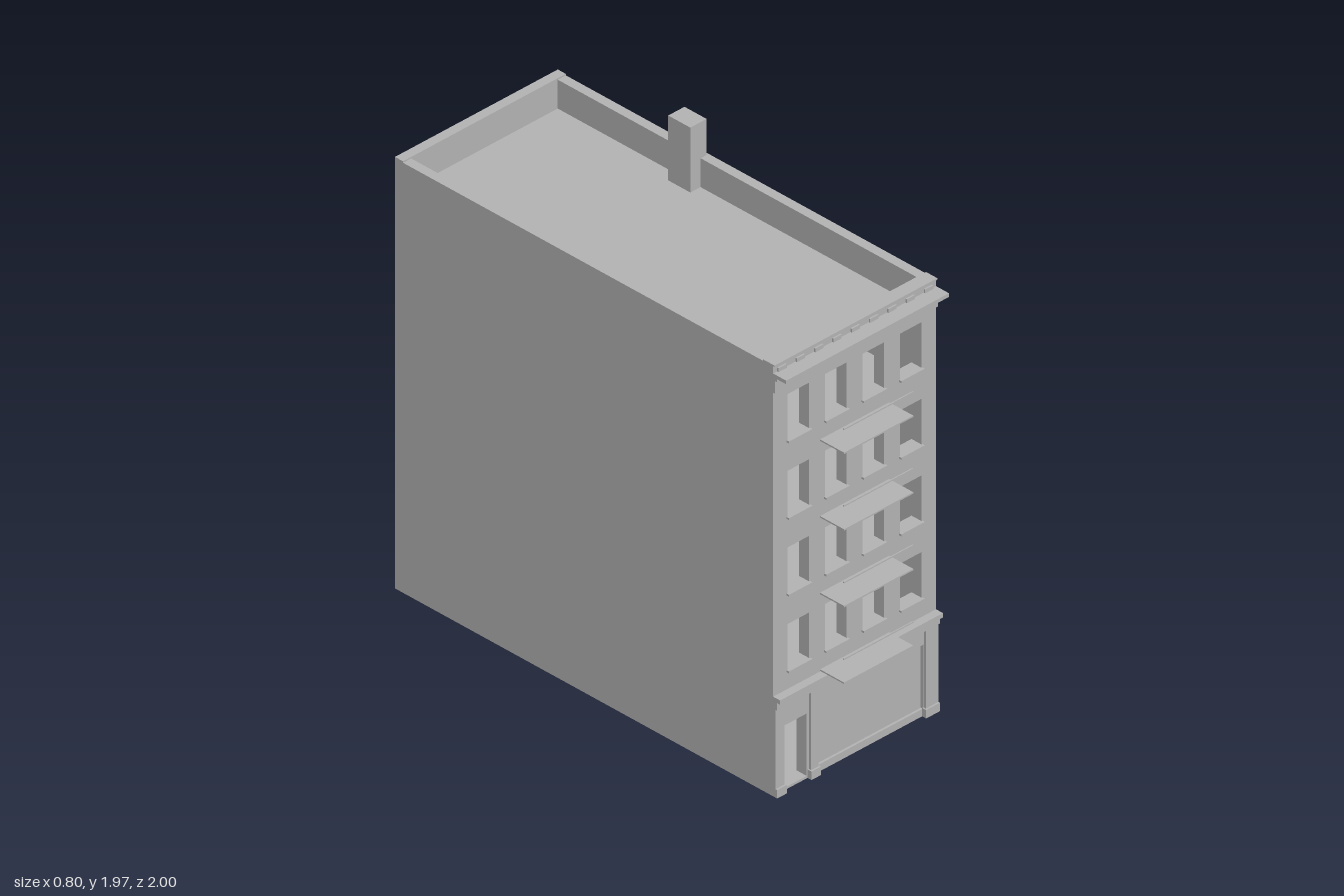
import * as THREE from 'three';

export function createModel() {
  const model = new THREE.Group();
  const stone = new THREE.MeshStandardMaterial({ color: 0xb2b2b2 });
  stone.name = 'grey stone';

  const add = (name, geometry) => {
    const mesh = new THREE.Mesh(geometry, stone);
    mesh.name = name;
    model.add(mesh);
    return mesh;
  };
  // Box given by its limits on each axis
  const box = (name, x0, x1, y0, y1, z0, z1) => {
    const g = new THREE.BoxGeometry(x1 - x0, y1 - y0, z1 - z0);
    g.translate((x0 + x1) / 2, (y0 + y1) / 2, (z0 + z1) / 2);
    return add(name, g);
  };
  // Upright wall with rectangular openings [x0, x1, y0, y1]
  const wall = (name, openings, z0, z1) => {
    const rect = (P, x0, x1, y0, y1) => {
      const p = new P();
      p.moveTo(x0, y0);
      p.lineTo(x1, y0);
      p.lineTo(x1, y1);
      p.lineTo(x0, y1);
      p.closePath();
      return p;
    };
    const shape = rect(THREE.Shape, -0.4, 0.4, 0.03, 1.82);
    for (const o of openings) shape.holes.push(rect(THREE.Path, ...o));
    const g = new THREE.ExtrudeGeometry(shape, { depth: z1 - z0, bevelEnabled: false });
    g.translate(0, 0, z0);
    add(name, g);
  };

  const columns = [-0.276, -0.092, 0.092, 0.276];
  const half = 0.053;
  const storeys = [0, 1, 2, 3].map((i) => 0.525 + i * 0.319);
  const upper = [];
  for (const y of storeys) for (const x of columns) upper.push([x - half, x + half, y, y + 0.19]);

  // Hollow shell: plinth, walls, floors and sunken roof
  box('plinth', -0.36, 0.36, 0, 0.03, -0.95, 0.84);
  box('groundFloor', -0.4, 0.4, 0.03, 0.04, -0.999, 0.879);
  for (const s of [-1, 1]) {
    const a = s * 0.36, b = s * 0.4;
    box(s < 0 ? 'leftHandWall' : 'rightHandWall', Math.min(a, b), Math.max(a, b), 0.03, 1.82, -0.96, 0.83);
  }
  wall('frontWall', [...upper, [-0.355, -0.235, 0.04, 0.3], [-0.185, 0.335, 0.06, 0.33]], 0.83, 0.88);
  const backGround = columns.slice(1).map((x) => [x - half, x + half, 0.14, 0.32]);
  wall('backWall', [...upper, ...backGround, [-0.329, -0.223, 0.04, 0.275]], -1, -0.96);
  for (const y of storeys) box('floor', -0.36, 0.36, y - 0.125, y - 0.085, -0.96, 0.83);
  box('roof', -0.36, 0.36, 1.68, 1.7, -0.96, 0.83);
  box('frontCoping', -0.4, 0.4, 1.82, 1.826, 0.83, 0.887);
  box('backCoping', -0.4, 0.4, 1.82, 1.826, -1, -0.96);
  box('chimney', 0.31, 0.39, 1.69, 1.97, -0.36, -0.25);

  // Window sills and balconies
  for (const y of storeys) {
    for (const x of columns) box('windowSill', x - 0.058, x + 0.058, y - 0.008, y, 0.87, 0.892);
    box('balconyPlatform', -0.17, 0.17, y - 0.077, y - 0.071, 0.88, 1);
    box('balconyRail', -0.17, 0.17, y + 0.023, y + 0.028, 0.995, 1);
  }

  // Roof cornice
  box('frieze', -0.4, 0.4, 1.71, 1.762, 0.88, 0.89);
  box('cornice', -0.4, 0.4, 1.775, 1.79, 0.88, 0.945);
  box('corniceSoffit', -0.4, 0.4, 1.762, 1.775, 0.88, 0.9);
  for (let i = 0; i < 9; i++) {
    const x = -0.36 + i * 0.09;
    box('dentil', x - 0.02, x + 0.02, 1.79, 1.806, 0.88, 0.887);
  }

  // Shopfront
  box('shopPanel', -0.19, 0.34, 0.05, 0.34, 0.85, 0.87);
  box('shopSign', -0.185, 0.335, 0.33, 0.4, 0.88, 0.885);
  for (const [x0, x1] of [[-0.4, -0.357], [-0.225, -0.19], [0.338, 0.4]]) {
    box('shopPost', x0, x1, 0.03, 0.4, 0.88, 0.892);
    box('postBase', Math.max(x0 - 0.006, -0.4), Math.min(x1 + 0.006, 0.4), 0.03, 0.065, 0.88, 0.9);
  }
  box('shopCorniceBase', -0.4, 0.4, 0.395, 0.427, 0.88, 0.9);
  box('shopCornice', -0.4, 0.4, 0.427, 0.445, 0.88, 0.915);

  return model;
}
